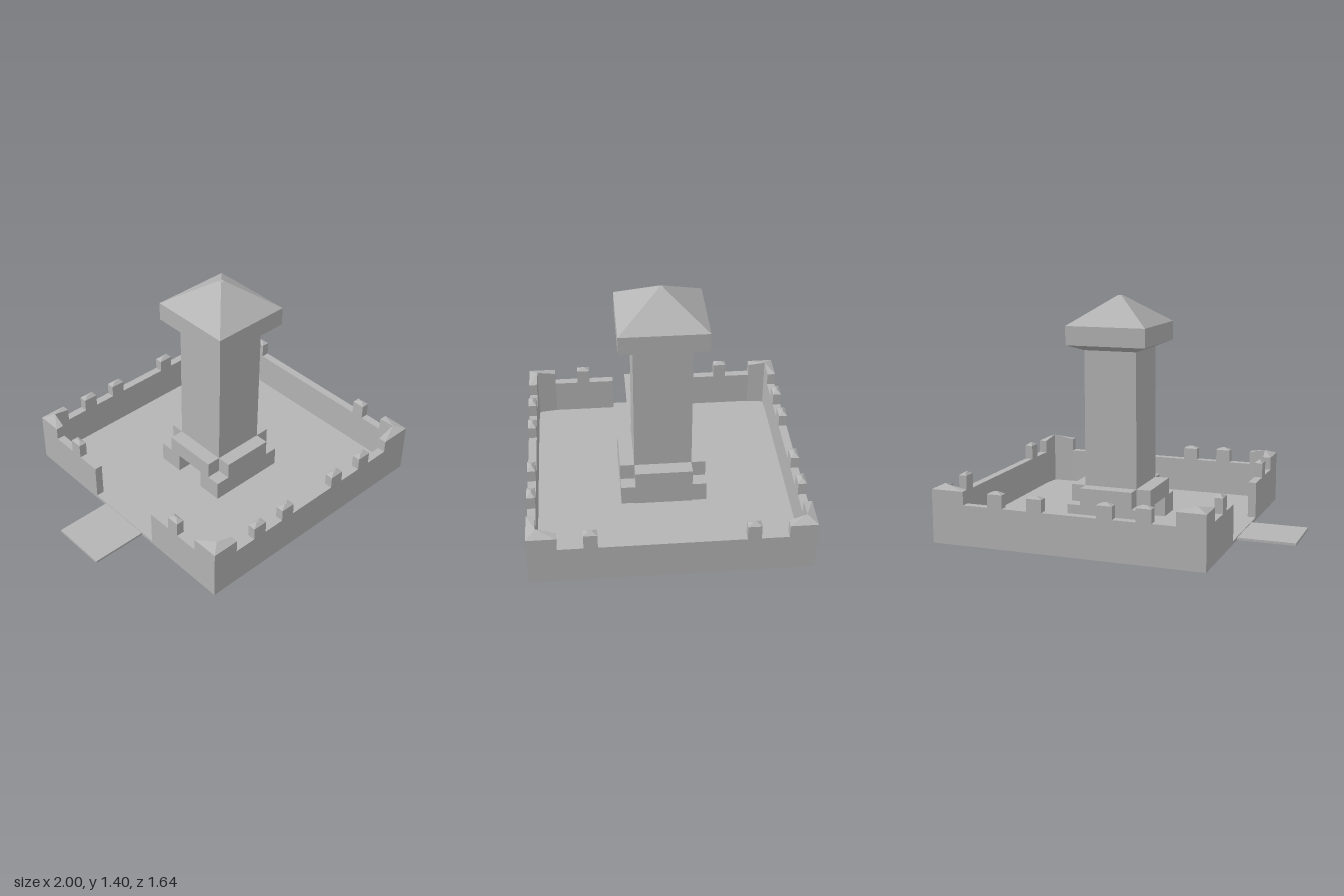
import * as THREE from 'three';

const stone = new THREE.MeshStandardMaterial({ color: 0xb4b4b4 });
stone.name = 'stone';

// Closed solid from stacked rings of [x, y, z] points, counter-clockwise from above
function loft(rings) {
  const pos = [];
  const tri = (a, b, c) => pos.push(...a, ...b, ...c);
  const n = rings[0].length;
  for (let r = 0; r < rings.length - 1; r++) {
    const lo = rings[r], hi = rings[r + 1];
    for (let i = 0; i < n; i++) {
      const j = (i + 1) % n;
      tri(lo[i], lo[j], hi[j]);
      tri(lo[i], hi[j], hi[i]);
    }
  }
  const top = rings[rings.length - 1], bottom = rings[0];
  for (let i = 1; i < n - 1; i++) {
    tri(top[0], top[i], top[i + 1]);
    tri(bottom[0], bottom[i + 1], bottom[i]);
  }
  const g = new THREE.BufferGeometry();
  g.setAttribute('position', new THREE.Float32BufferAttribute(pos, 3));
  g.computeVertexNormals();
  return g;
}

const rect = (cx, cz, hx, hz, y) => [
  [cx - hx, y, cz + hz], [cx + hx, y, cz + hz], [cx + hx, y, cz - hz], [cx - hx, y, cz - hz],
];

export function createModel() {
  const model = new THREE.Group();
  model.name = 'castle';

  const add = (name, geometry) => {
    const mesh = new THREE.Mesh(geometry, stone);
    mesh.name = name;
    model.add(mesh);
  };
  const block = (name, x0, x1, y0, y1, z0, z1) => {
    const g = new THREE.BoxGeometry(x1 - x0, y1 - y0, z1 - z0);
    g.translate((x0 + x1) / 2, (y0 + y1) / 2, (z0 + z1) / 2);
    add(name, g);
  };

  const X0 = -0.65, X1 = 1, Z = 0.82, T = 0.05;
  const FLOOR = 0.02, WALL = 0.24;

  // Ground slab and bridge
  block('courtyardFloor', X0, X1, 0, FLOOR, -Z, Z);
  block('bridge', -1, X0, 0, 0.015, -0.18, 0.17);

  // Curtain walls, with a gateway on the right side
  block('frontWall', -0.48, 0.8, FLOOR, WALL, Z - T, Z);
  block('backWall', -0.48, 0.8, FLOOR, WALL, -Z, -Z + T);
  block('leftWall', X1 - T, X1, FLOOR, WALL, -0.66, 0.65);
  block('rightWallFront', X0, X0 + T, FLOOR, WALL, 0.265, 0.65);
  block('rightWallBack', X0, X0 + T, FLOOR, WALL, -0.66, -0.27);

  // Corner pieces: L-shaped, tops rising to the inner corner
  for (const sx of [-1, 1]) for (const sz of [-1, 1]) {
    const ox = sx > 0 ? X1 : X0, oz = sz * Z;
    const lx = sx > 0 ? 0.2 : 0.17, lz = sz > 0 ? 0.17 : 0.16;
    const plan = [[0.065, 0.055, 0.345], [lx, T, 0.32], [lx, 0, 0.32],
      [0, 0, 0.32], [0, lz, 0.32], [T, lz, 0.32]];
    if (sx * sz < 0) plan.push(...plan.splice(1).reverse());
    const ring = (yOf) => plan.map(([a, b, y]) => [ox - sx * a, yOf(y), oz - sz * b]);
    add('cornerTurret', loft([ring(() => FLOOR), ring((y) => y)]));
  }

  // Merlons with small hipped caps
  const merlon = (x, z, hx, hz, y) => add('merlon', loft([
    rect(x, z, hx, hz, WALL), rect(x, z, hx, hz, y),
    rect(x, z, hx > hz ? 0.012 : 0.004, hx > hz ? 0.004 : 0.012, y + 0.015),
  ]));
  for (const s of [-1, 1]) {
    for (const [x, y] of [[-0.295, 0.32], [-0.067, 0.315], [0.355, 0.315], [0.6, 0.32]]) {
      merlon(x, s * (Z - T / 2), 0.046, T / 2, y);
    }
    for (const x of [X0 + T / 2, X1 - T / 2]) merlon(x, s * 0.461, T / 2, 0.04, 0.33);
  }

  // Tower base: low corner blocks and a taller cross, with a doorway to the gate
  const cx = 0.145, hx = 0.165, hz = 0.175;
  for (const s of [-1, 1]) {
    const [za, zb] = s > 0 ? [hz, 0.262] : [-0.262, -hz];
    block('baseCorner', -0.11, cx - hx, FLOOR, 0.145, za, zb);
    block('baseCorner', cx + hx, 0.395, FLOOR, 0.145, za, zb);
    block('baseArm', cx - hx, cx + hx, FLOOR, 0.25, za, zb);
    const [ja, jb] = s > 0 ? [0.1, hz] : [-hz, -0.1];
    block('doorJamb', -0.11, cx - hx, FLOOR, 0.145, ja, jb);
  }
  block('baseArm', cx + hx, 0.4, FLOOR, 0.25, -hz, hz);
  block('doorLintel', -0.11, cx - hx, 0.145, 0.25, -hz, hz);

  // Tower shaft and its flared, roofed head
  block('towerShaft', cx - hx, cx + hx, FLOOR, 1.08, -hz, hz);
  add('towerHead', loft([
    rect(cx, 0, hx, hz, 1.08), rect(cx, 0, 0.25, 0.262, 1.115), rect(cx, 0, 0.25, 0.262, 1.23),
  ]));
  add('towerRoof', loft([rect(cx, 0, 0.25, 0.262, 1.23), rect(cx, 0, 0.013, 0.013, 1.4)]));

  return model;
}
